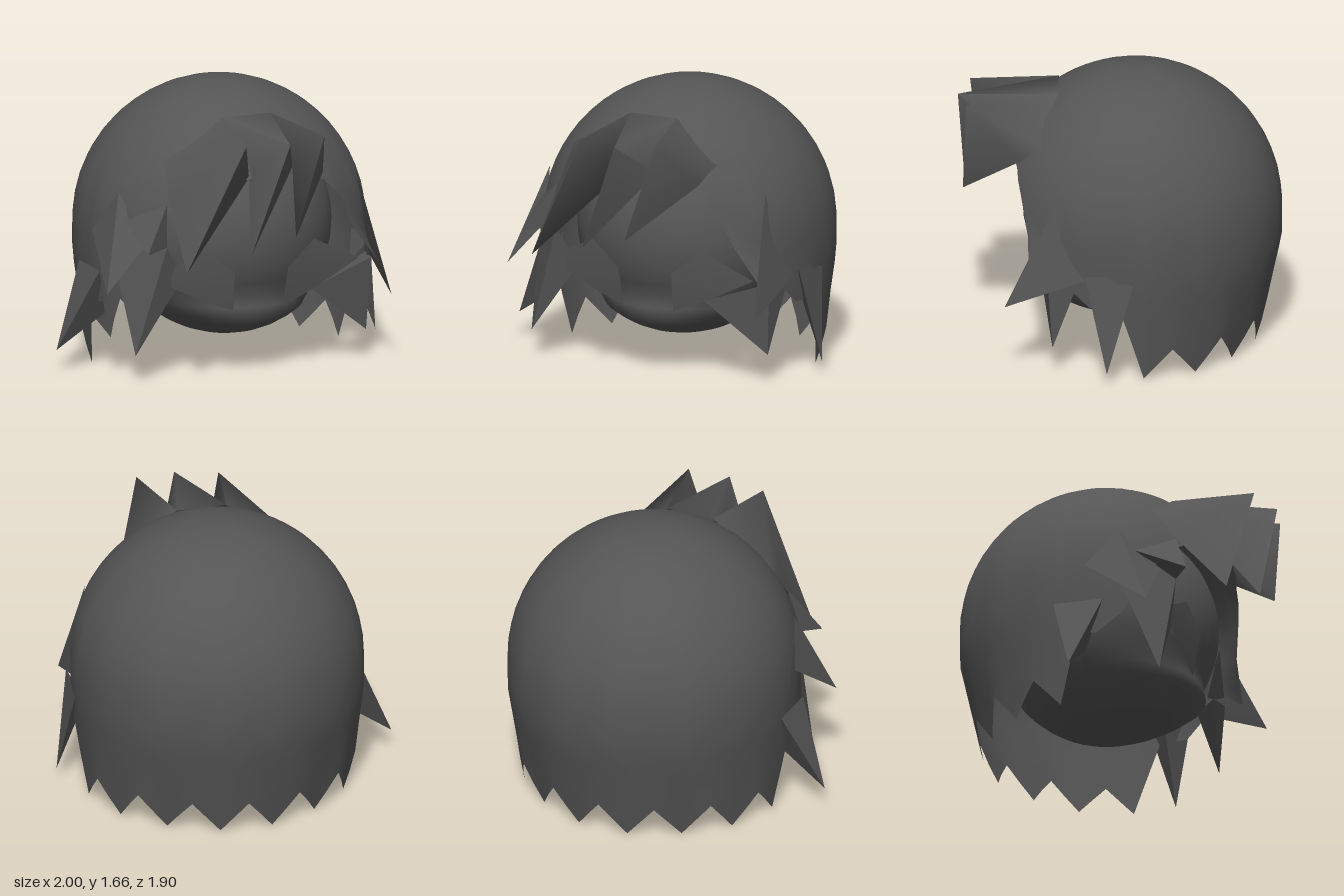
import * as THREE from 'three';
import { toCreasedNormals } from 'three/addons/utils/BufferGeometryUtils.js';

const C = [0.07, 0.8, -0.09]; // centre of the head
const R = 0.86; // radius of the hair cap

function build(points, faces) {
  const g = new THREE.BufferGeometry();
  g.setAttribute('position', new THREE.Float32BufferAttribute(points.flat(), 3));
  g.setIndex(faces.flat());
  g.computeVertexNormals();
  return g;
}

// Hair cap: dome swept round the head, cut off along a jagged rim
function capGeometry() {
  // rim points: angle from the front, height, radius
  const rim = [
    [-180, 0.19, 0.77], [-167.5, 0, 0.72], [-155, 0.19, 0.77], [-142, 0, 0.72], [-130, 0.19, 0.79],
    [-118, 0, 0.76], [-106, 0.18, 0.81], [-94, 0, 0.79], [-86, 0.42, 0.84], [-78, 0.42, 0.85],
    [-68, 0.55, 0.86], [-58, 0.82, 0.86], [-45, 1.02, R], [-32, 1.13, R], [-10, 1.22, R], [10, 1.25, R],
    [28, 1.16, R], [36, 1.04, R], [50.5, 0.61, 0.97], [61, 0.6, 0.87], [72, 0.45, 0.85], [84, 0.46, 0.85],
    [94, 0, 0.79], [106, 0.18, 0.81], [118, 0, 0.76], [130, 0.19, 0.79], [142, 0, 0.72],
    [155, 0.19, 0.77], [167.5, 0, 0.72], [180, 0.19, 0.77],
  ];
  const columns = [];
  for (let i = 0; i < rim.length - 1; i++) {
    for (let k = 0; k < 2; k++) {
      columns.push(rim[i].map((v, j) => v + (rim[i + 1][j] - v) * k / 2));
    }
  }
  const rows = 18, n = columns.length, quarter = R * Math.PI / 2, points = [], faces = [];
  columns.forEach(([deg, y, r]) => {
    const a = deg * Math.PI / 180;
    const length = y > C[1] ? R * Math.acos((y - C[1]) / R) : quarter + C[1] - y;
    const bend = r > R ? C[1] : 0.62; // where the side starts to lean in or out
    for (let j = 1; j <= rows; j++) {
      const s = length * j / rows;
      const py = s < quarter ? C[1] + R * Math.cos(s / R) : C[1] - (s - quarter);
      const lean = py < bend ? (bend - py) / (bend - y) : 0;
      const pr = s < quarter ? R * Math.sin(s / R) : R + (r - R) * lean;
      points.push([C[0] + pr * Math.sin(a), py, C[2] + pr * Math.cos(a)]);
    }
  });
  const crown = points.push([C[0], C[1] + R, C[2]]) - 1;
  for (let i = 0; i < n; i++) {
    const a = i * rows, b = ((i + 1) % n) * rows;
    faces.push([crown, a, b]);
    for (let j = 0; j < rows - 1; j++) {
      faces.push([a + j, a + j + 1, b + j], [b + j, a + j + 1, b + j + 1]);
    }
  }
  return build(points, faces);
}

// Inner head: sphere whose lower front juts forward as a chin
function headGeometry() {
  const g = new THREE.SphereGeometry(0.66, 36, 24);
  const p = g.attributes.position;
  for (let i = 0; i < p.count; i++) {
    const low = THREE.MathUtils.smoothstep(-p.getY(i), 0.36, 0.46);
    if (p.getZ(i) > 0) p.setZ(i, p.getZ(i) * (1 + 0.27 * low));
  }
  g.translate(...C);
  g.computeVertexNormals();
  return g;
}

// Fringe lock: crown corners, roots, forward peak and hanging tip
function fringeGeometry(crownL, crownR, rootL, rootR, peak, tip) {
  return toCreasedNormals(build([crownL, crownR, rootL, rootR, peak, tip], [
    [0, 4, 1], [0, 2, 4], [2, 5, 4], [1, 4, 3], [3, 4, 5], [2, 3, 5],
  ]), 1.6);
}

// Pointed side lock: three root points drawn to one tip
function spikeGeometry(a, b, c, tip) {
  return toCreasedNormals(build([a, b, c, tip], [[0, 1, 3], [1, 2, 3], [2, 0, 3], [0, 2, 1]]), 0.6);
}

export function createModel() {
  const model = new THREE.Group();
  const charcoal = new THREE.MeshStandardMaterial({ color: 0x555555, side: THREE.DoubleSide });
  charcoal.name = 'charcoal';
  const add = (name, geometry) => {
    const mesh = new THREE.Mesh(geometry, charcoal);
    mesh.name = name;
    model.add(mesh);
  };

  add('hairCap', capGeometry());
  add('innerHead', headGeometry());

  // Fringe swept to one side
  [
    [[-0.48, 1.3, 0.34], [-0.1, 1.53, 0.36], [-0.5, 1.12, 0.47], [-0.05, 1.22, 0.62], [-0.18, 1.48, 0.88], [-0.53, 0.73, 0.81]],
    [[-0.1, 1.53, 0.36], [0.2, 1.53, 0.36], [-0.05, 1.22, 0.62], [0.21, 1.27, 0.66], [0.07, 1.48, 0.95], [-0.16, 0.83, 0.91]],
    [[0.2, 1.53, 0.36], [0.5, 1.3, 0.46], [0.21, 1.27, 0.66], [0.44, 1.2, 0.58], [0.31, 1.5, 0.9], [0.12, 0.91, 0.92]],
  ].forEach((p) => add('fringeLock', fringeGeometry(...p)));

  // Side locks
  [
    // left side
    [[0.76, 1.12, 0.34], [0.88, 0.62, 0.2], [0.82, 0.62, 0.4], [0.84, 0.44, 0.67]],
    [[0.42, 0.47, 0.46], [0.82, 0.61, 0.42], [0.86, 0.6, 0.24], [0.8, 0.17, 0.39]],
    [[0.91, 0.66, 0.2], [0.92, 0.66, -0.1], [0.84, 0.5, 0.05], [1.0, 0.08, 0.07]],
    // right side
    [[-0.7, 1.1, 0.2], [-0.79, 0.85, 0.02], [-0.6, 0.85, 0.42], [-0.87, 0.55, 0.42]],
    [[-0.75, 0.8, 0.2], [-0.52, 0.82, 0.5], [-0.4, 0.6, 0.44], [-0.7, 0.17, 0.45]],
    [[-0.79, 0.62, 0.13], [-0.79, 0.62, -0.17], [-0.7, 0.33, 0.0], [-1.0, 0.13, -0.02]],
    [[-0.52, 1.08, 0.5], [-0.7, 0.95, 0.3], [-0.52, 0.82, 0.5], [-0.69, 0.81, 0.61]],
  ].forEach((p) => add('sideLock', spikeGeometry(...p)));

  // Cheek panels beside the face
  [-1, 1].forEach((s) => {
    const at = (x, y, z) => [C[0] + s * x, y, z];
    const p = [at(0.17, 0.63, 0.53), at(0.35, 0.78, 0.5), at(0.66, 0.62, 0.44), at(0.36, 0.47, 0.47), at(0.16, 0.39, 0.48)];
    const f = s > 0 ? [[0, 2, 1], [0, 3, 2], [0, 4, 3]] : [[0, 1, 2], [0, 2, 3], [0, 3, 4]];
    add('cheekPanel', build(p, f));
  });

  return model;
}
